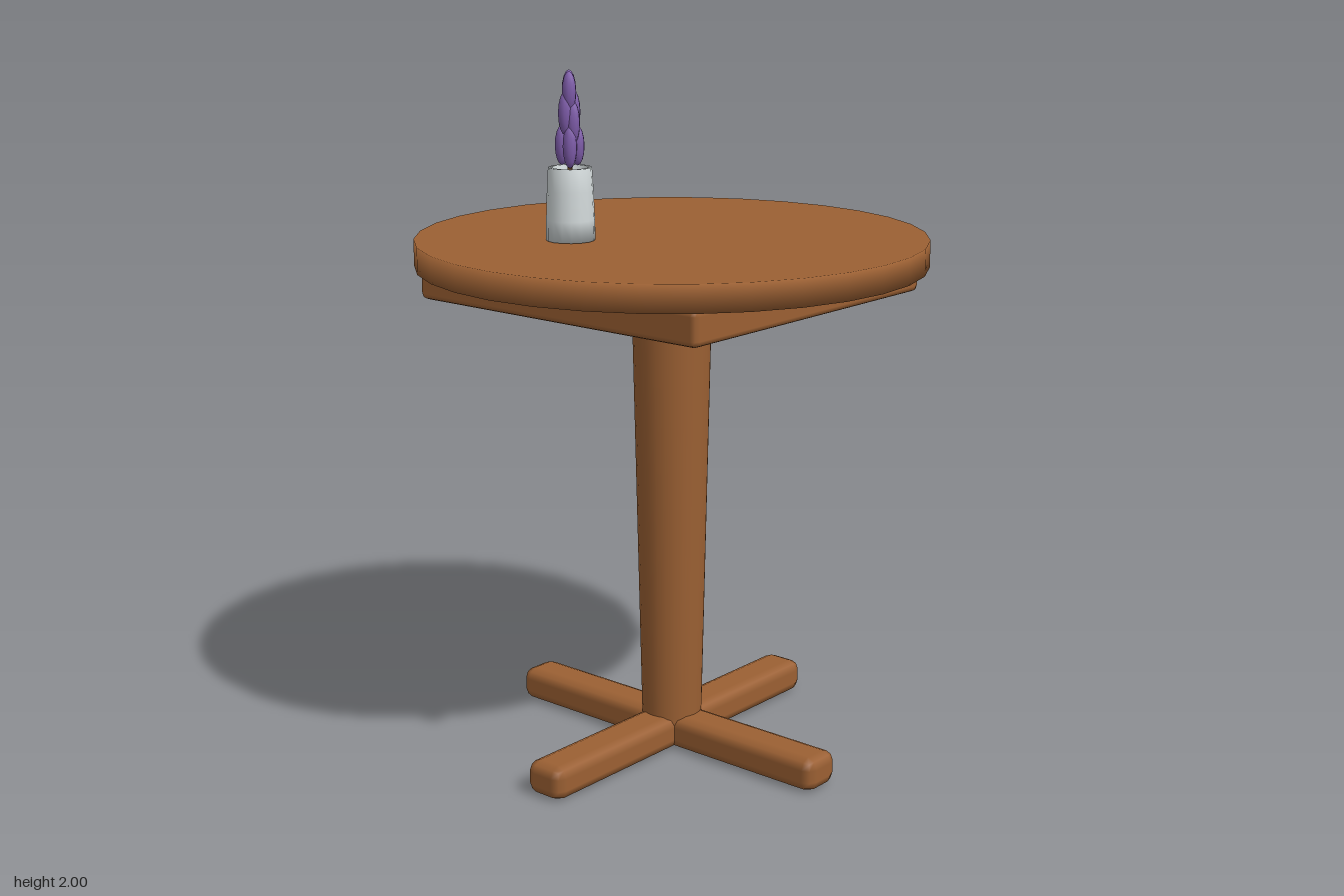
import * as THREE from 'three';
import { RoundedBoxGeometry } from 'three/addons/geometries/RoundedBoxGeometry.js';

function material(name, color, side = THREE.FrontSide) {
  const m = new THREE.MeshStandardMaterial({ color, side });
  m.name = name;
  return m;
}

export function createModel() {
  const wood = material('wood', 0x9b6033);
  const ceramic = material('ceramic', 0xd2d9da, THREE.DoubleSide);
  const purple = material('purple petals', 0x7d5ba8);
  const stemBrown = material('stem brown', 0x7a4a22);

  const model = new THREE.Group();
  model.name = 'pedestalTable';
  const add = (parent, name, geometry, mat, x = 0, y = 0, z = 0) => {
    const mesh = new THREE.Mesh(geometry, mat);
    mesh.name = name;
    mesh.position.set(x, y, z);
    parent.add(mesh);
    return mesh;
  };

  // Round top: the rim normals lean up and down for a softened edge
  const R = 0.727;
  const rim = new THREE.CylinderGeometry(R, R, 0.076, 32, 1, true);
  const pos = rim.attributes.position, nor = rim.attributes.normal;
  const n = new THREE.Vector3();
  for (let i = 0; i < pos.count; i++) {
    n.set(pos.getX(i) / R, Math.sign(pos.getY(i)) * 2, pos.getZ(i) / R).normalize();
    nor.setXYZ(i, n.x, n.y, n.z);
  }
  add(model, 'tableTopRim', rim, wood, 0, 1.492, 0);
  for (const side of [1, -1]) {
    const disc = add(model, side > 0 ? 'tableTopSurface' : 'tableTopUnderside',
      new THREE.CircleGeometry(R, 32), wood, 0, 1.492 + side * 0.038, 0);
    disc.rotation.x = -side * Math.PI / 2;
  }

  // Square support board and tapered column
  add(model, 'supportBoard', new RoundedBoxGeometry(1.01, 0.1, 1.01, 1, 0.018), wood, 0, 1.408, 0);
  add(model, 'column', new THREE.CylinderGeometry(0.116, 0.088, 1.33, 24), wood, 0, 0.715, 0);

  // Crossed feet with chamfered edges
  for (const turn of [0, Math.PI / 2]) {
    const foot = add(model, 'crossFoot', new RoundedBoxGeometry(0.13, 0.1, 1.13, 1, 0.032), wood, 0, 0.05, 0);
    foot.rotation.y = turn;
  }

  // Hollow vase
  const bouquet = new THREE.Group();
  bouquet.name = 'vaseWithFlowers';
  bouquet.position.set(-0.244, 1.53, -0.163);
  model.add(bouquet);
  const profile = [[0, 0.002], [0.069, 0.002], [0.068, 0.06], [0.065, 0.14], [0.061, 0.205],
    [0.05, 0.205], [0.048, 0.13], [0, 0.13]].map(([x, y]) => new THREE.Vector2(x, y));
  add(bouquet, 'vase', new THREE.LatheGeometry(profile, 16), ceramic);

  // Two tall flower spikes, each a stem with stacked oval petals
  const petal = new THREE.SphereGeometry(1, 10, 8);
  for (const s of [1, -1]) {
    const x = s * 0.018, z = -s * 0.017;
    add(bouquet, 'flowerStem', new THREE.CylinderGeometry(0.007, 0.007, 0.3, 6), stemBrown, x * 0.7, 0.26, z * 0.7);
    const petals = [[0, 0.415, 0, 0.055], [0.008, 0.355, 0.008, 0.06],
      [-0.007, 0.33, -0.006, 0.06], [0.004, 0.265, -0.004, 0.06]];
    for (const [dx, y, dz, h] of petals) {
      add(bouquet, 'flowerPetal', petal, purple, x + s * dx, y, z + s * dz).scale.set(0.02, h, 0.02);
    }
    // Shorter outer petals
    const outer = add(bouquet, 'outerPetal', petal, purple, s * 0.011, 0.265, s * 0.019);
    outer.scale.set(0.02, 0.055, 0.02);
  }
  return model;
}
